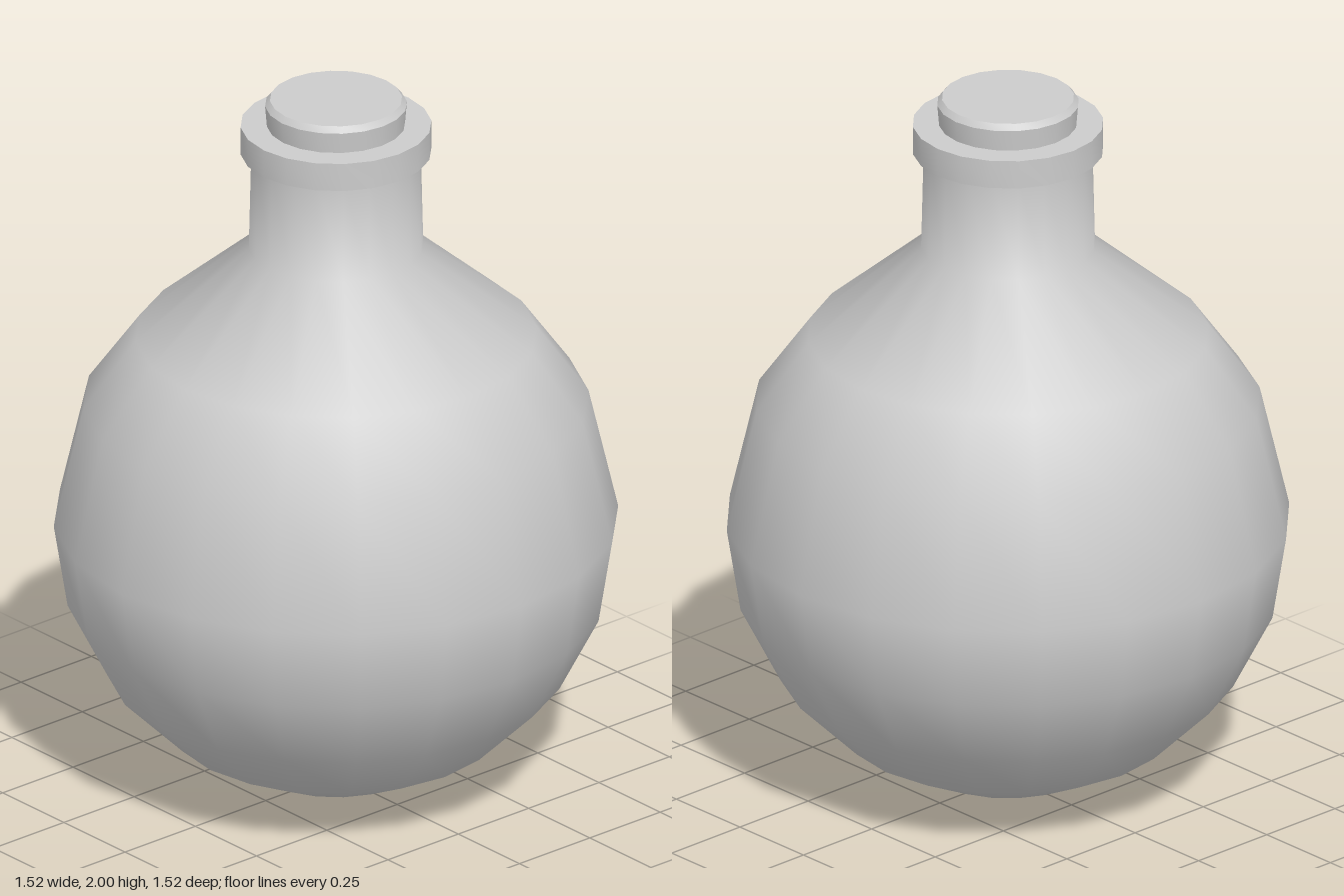
import * as THREE from 'three';
import { toCreasedNormals } from 'three/addons/utils/BufferGeometryUtils.js';

const SIDES = 20;

// Revolve a [radius, height] profile, listed from bottom to top
function turned(name, profile, material, creased) {
  const points = profile.map(([r, y]) => new THREE.Vector2(r, y));
  let geometry = new THREE.LatheGeometry(points, SIDES);
  if (creased) geometry = toCreasedNormals(geometry, 0.6);
  const mesh = new THREE.Mesh(geometry, material);
  mesh.name = name;
  return mesh;
}

export function createModel() {
  const group = new THREE.Group();
  group.name = 'roundFlask';
  const material = new THREE.MeshStandardMaterial({ color: 0xcccccc, side: THREE.DoubleSide });

  // Spherical belly from the bottom pole to the equator
  const R = 0.76;
  const profile = [];
  for (let i = 0; i <= 5; i++) {
    const a = (i / 5) * Math.PI / 2;
    profile.push([R * Math.sin(a), 0.765 - 0.76 * Math.cos(a)]);
  }
  profile[0] = [0, 0];
  // Shoulder and neck
  profile.push([0.68, 1.11], [0.54, 1.305], [0.235, 1.565], [0.228, 1.86]);
  group.add(turned('flaskBody', profile, material, false));

  // Flat ring around the mouth
  group.add(turned('lip', [[0.2, 1.845], [0.257, 1.845], [0.257, 1.925], [0.165, 1.925]], material, true));

  // Stopper with a bevelled top edge
  group.add(turned('stopper', [[0.184, 1.9], [0.191, 1.984], [0.178, 2], [0, 2]], material, true));

  return group;
}
